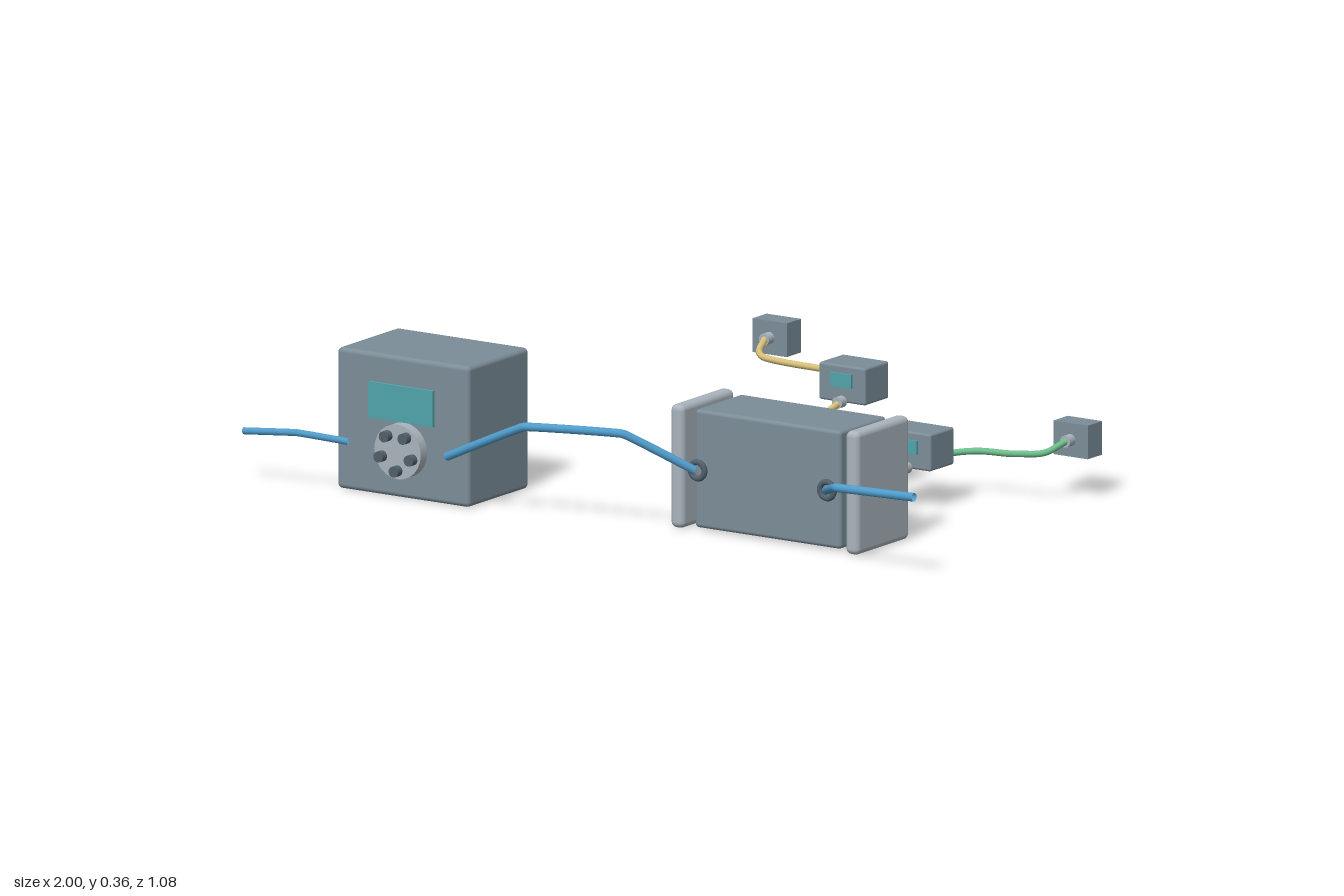
import * as THREE from 'three';
import { RoundedBoxGeometry } from 'three/addons/geometries/RoundedBoxGeometry.js';

const material = (name, color, side = THREE.FrontSide) => {
  const m = new THREE.MeshStandardMaterial({ color, side });
  m.name = name;
  return m;
};

export function createModel() {
  const model = new THREE.Group();
  const housing = material('slate housing', 0x7b8d98);
  const steel = material('pale steel', 0xaab4bc);
  const dark = material('dark steel', 0x52606a);
  const teal = material('teal display', 0x4fa5ab);
  const blue = material('blue tubing', 0x4f9ccb, THREE.DoubleSide);
  const yellow = material('yellow tubing', 0xd6bf78, THREE.DoubleSide);
  const green = material('green tubing', 0x6cbd8b, THREE.DoubleSide);

  const add = (name, geometry, mat, x = 0, y = 0, z = 0) => {
    const mesh = new THREE.Mesh(geometry, mat);
    mesh.name = name;
    mesh.position.set(x, y, z);
    model.add(mesh);
    return mesh;
  };

  // Box given by its extents on each axis, with optional rounded edges
  const box = (name, mat, [x0, x1], [y0, y1], [z0, z1], r = 0) => {
    const size = [x1 - x0, y1 - y0, z1 - z0];
    const g = r ? new RoundedBoxGeometry(...size, 3, r) : new THREE.BoxGeometry(...size);
    return add(name, g, mat, (x0 + x1) / 2, (y0 + y1) / 2, (z0 + z1) / 2);
  };

  // Cylinder lying along z
  const rod = (name, mat, x, y, z0, z1, r) => {
    const g = new THREE.CylinderGeometry(r, r, z1 - z0, 24).rotateX(Math.PI / 2);
    return add(name, g, mat, x, y, (z0 + z1) / 2);
  };

  // Tube through points; low tension keeps its bends crisp
  const tube = (name, mat, points, r, tension = 0.5) => {
    const path = points.map(p => new THREE.Vector3(...p));
    const curve = new THREE.CatmullRomCurve3(path, false, 'catmullrom', tension);
    return add(name, new THREE.TubeGeometry(curve, 80, r, 12), mat);
  };

  // Pump cabinet with display and roller head
  box('pumpCabinet', housing, [-0.765, -0.367], [0.005, 0.365], [0.2, 0.468], 0.012);
  box('pumpDisplay', teal, [-0.665, -0.47], [0.2, 0.292], [0.468, 0.476]);
  rod('rollerHead', steel, -0.562, 0.129, 0.466, 0.497, 0.07);
  for (let i = 0; i < 5; i++) {
    const a = THREE.MathUtils.degToRad(55 + i * 72);
    rod('roller', dark, -0.562 + 0.048 * Math.cos(a), 0.129 + 0.048 * Math.sin(a), 0.49, 0.517, 0.014);
  }

  // Filter body held between two end caps
  box('filterBody', housing, [0.228, 0.668], [0.01, 0.312], [0.138, 0.344], 0.01);
  for (const x of [0.165, 0.692]) {
    box('endCap', steel, [x, x + 0.04], [0.005, 0.32], [0.128, 0.362], 0.015);
  }
  for (const x of [0.25, 0.64]) {
    add('portRing', new THREE.TorusGeometry(0.021, 0.0075, 10, 28), dark, x, 0.162, 0.362);
  }

  // Blue main line
  tube('inletTube', blue, [[-1, 0.133, 0.533], [-0.84, 0.149, 0.533], [-0.72, 0.132, 0.482]], 0.009, 0.08);
  tube('pumpToFilterTube', blue,
    [[-0.425, 0.132, 0.48], [-0.18, 0.243, 0.498], [0.095, 0.255, 0.465], [0.245, 0.162, 0.366]], 0.011, 0.08);
  tube('outletTube', blue, [[0.64, 0.162, 0.366], [0.765, 0.212, 0.505], [1, 0.218, 0.505]], 0.011, 0.08);

  // Two side lines: filter port, sagging tube, monitor box, curved tube, end box.
  // dir is the x direction in which the line runs off.
  const sideLine = (mat, x, y, dir, reach) => {
    const endX = x + dir * reach;
    const endY = y + 0.043;
    rod('filterPort', steel, x, y, 0.1, 0.14, 0.015);
    tube('saggingTube', mat, [
      [x, y - 0.002, 0.105], [x, y - 0.019, 0.05], [x, y - 0.026, 0],
      [x, y - 0.02, -0.06], [x, y - 0.002, -0.14]
    ], 0.0085);
    rod('frontConnector', steel, x, y, -0.152, -0.13, 0.015);
    box('monitorBox', housing, [x - 0.07, x + 0.07], [y - 0.003, y + 0.092], [-0.258, -0.152], 0.006);
    box('monitorDisplay', teal, [x - 0.032, x + 0.032], [y + 0.037, y + 0.072], [-0.153, -0.146]);
    rod('rearConnector', steel, x, y, -0.282, -0.256, 0.015);
    tube('curvedTube', mat, [
      [x, y, -0.276], [x + dir * 0.01, y + 0.004, -0.325], [x + dir * 0.065, y + 0.009, -0.368],
      [x + dir * 0.15, y + 0.012, -0.376], [endX - dir * 0.09, y + 0.015, -0.377],
      [endX - dir * 0.025, y + 0.022, -0.397], [endX, endY, -0.456]
    ], 0.0085);
    rod('endConnector', steel, endX, endY, -0.48, -0.453, 0.015);
    box('endBox', housing, [endX - 0.052, endX + 0.052], [endY - 0.043, endY + 0.043], [-0.541, -0.478]);
  };
  sideLine(yellow, 0.335, 0.251, -1, 0.44);
  sideLine(green, 0.532, 0.108, 1, 0.27);

  return model;
}
